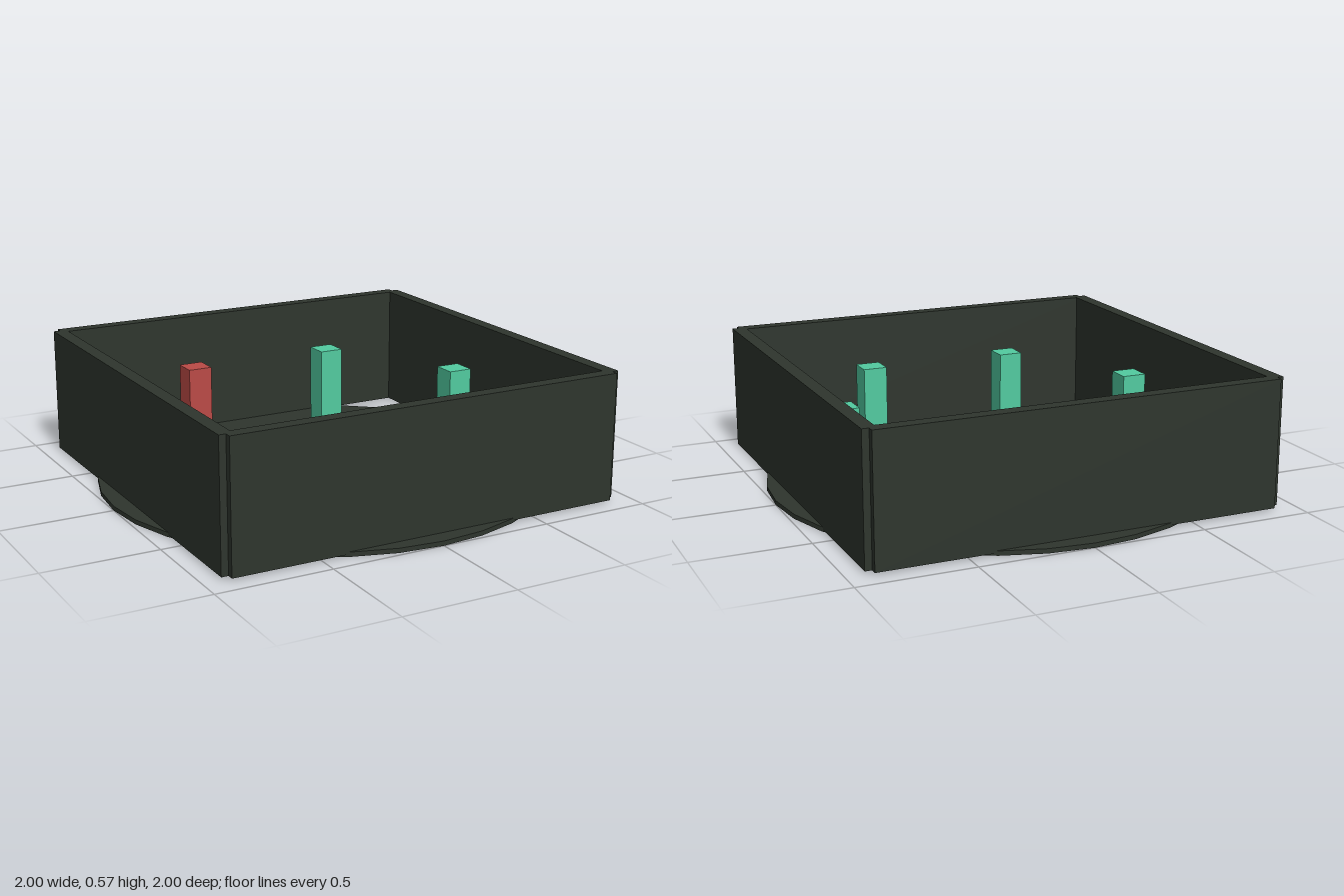
import * as THREE from 'three';

export function createModel() {
  const model = new THREE.Group();
  const material = (name, color) => {
    const m = new THREE.MeshStandardMaterial({ color });
    m.name = name;
    return m;
  };
  const dark = material('dark green grey', 0x2e352d);
  const green = material('mint green', 0x52cba0);
  const red = material('brick red', 0xbb4a46);

  // Adds a mesh whose underside sits at height y
  const add = (name, geometry, mat, x, y, z, height) => {
    const mesh = new THREE.Mesh(geometry, mat);
    mesh.name = name;
    mesh.position.set(x, y + height / 2, z);
    model.add(mesh);
  };

  // Round floor
  add('floorDisc', new THREE.CylinderGeometry(1, 1, 0.02, 32), dark, 0, 0, 0, 0.02);

  // Four walls, each stopping short of the corner to leave a small notch
  const wallHeight = 0.56;
  for (const s of [-1, 1]) {
    add(s > 0 ? 'frontWall' : 'backWall',
      new THREE.BoxGeometry(1.78, wallHeight, 0.06), dark, 0, 0.01, s * 0.89, wallHeight);
    add(s > 0 ? 'leftWall' : 'rightWall',
      new THREE.BoxGeometry(0.06, wallHeight, 1.78), dark, s * 0.89, 0.01, 0, wallHeight);
  }

  // Central plinth with a round button
  add('plinth', new THREE.BoxGeometry(0.445, 0.045, 0.445), red, 0, 0.01, 0, 0.045);
  add('button', new THREE.CylinderGeometry(0.1, 0.1, 0.05, 32), green, 0, 0.05, 0, 0.05);

  // Six posts in a hexagon; the back right one is red
  const postGeometry = new THREE.BoxGeometry(0.11, 0.39, 0.11);
  for (let i = 0; i < 6; i++) {
    const a = i * Math.PI / 3;
    add('post', postGeometry, i === 4 ? red : green,
      0.69 * Math.cos(a), 0.01, 0.69 * Math.sin(a), 0.39);
  }
  return model;
}
